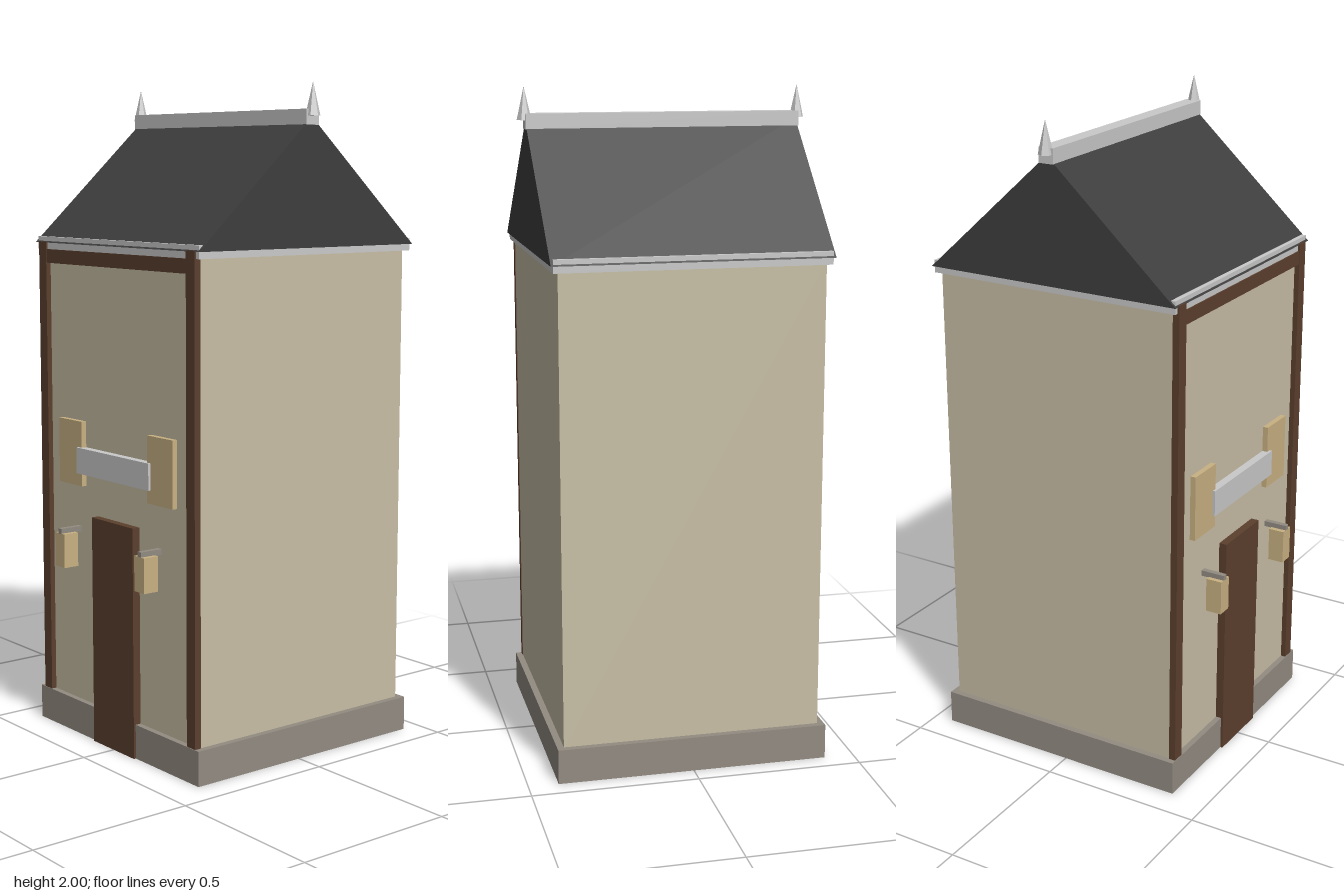
import * as THREE from 'three';

const flat = (name, color) => {
  const m = new THREE.MeshStandardMaterial({ color });
  m.name = name;
  return m;
};

export function createModel() {
  const house = new THREE.Group();
  house.name = 'townHouse';

  const plaster = flat('plaster', 0xc8bfa6);
  const stone = flat('stone', 0x938c82);
  const timber = flat('timber', 0x5c402e);
  const slate = flat('slate', 0x3e3e3e);
  const trim = flat('trim', 0xcacaca);
  const tan = flat('tan', 0xc9b283);

  const add = (name, geometry, material) => {
    const mesh = new THREE.Mesh(geometry, material);
    mesh.name = name;
    house.add(mesh);
    return mesh;
  };
  // Box given by its limits on each axis
  const box = (name, material, [x0, x1], [y0, y1], [z0, z1]) => {
    const mesh = add(name, new THREE.BoxGeometry(x1 - x0, y1 - y0, z1 - z0), material);
    mesh.position.set((x0 + x1) / 2, (y0 + y1) / 2, (z0 + z1) / 2);
    return mesh;
  };

  // Plinth, walls and cornice
  box('plinth', stone, [-0.41, 0.41], [0, 0.105], [-0.44, 0.383]);
  box('walls', plaster, [-0.39, 0.39], [0.1, 1.515], [-0.42, 0.365]);
  box('cornice', trim, [-0.405, 0.405], [1.507, 1.545], [-0.435, 0.375]);

  // Gabled roof, its profile drawn in z and y and extruded along x
  const gable = new THREE.Shape();
  gable.moveTo(-0.41, 1.527);
  gable.lineTo(0.41, 1.527);
  gable.lineTo(0, 1.9);
  gable.closePath();
  const roof = new THREE.ExtrudeGeometry(gable, { depth: 0.824, bevelEnabled: false });
  roof.translate(0, 0, -0.412).rotateY(Math.PI / 2).translate(0, 0, -0.03);
  add('roof', roof, slate);
  box('ridgeCap', trim, [-0.415, 0.415], [1.877, 1.922], [-0.054, -0.006]);

  // Timber frame and door
  box('frontBeam', timber, [-0.353, 0.353], [1.465, 1.507], [0.36, 0.379]);
  box('door', timber, [-0.105, 0.105], [0, 0.705], [0.36, 0.39]);

  // Blank sign board
  box('signBoard', trim, [-0.185, 0.185], [0.83, 0.91], [0.36, 0.39]);

  // Parts repeated on both sides
  for (const [side, s] of [['left', 1], ['right', -1]]) {
    const span = (a, b) => (s > 0 ? [a, b] : [-b, -a]);
    box(side + 'Post', timber, span(0.353, 0.392), [0.1, 1.53], [0.36, 0.381]);
    box(side + 'Window', tan, span(0.168, 0.29), [0.79, 0.99], [0.36, 0.382]);
    box(side + 'Lantern', tan, span(0.182, 0.23), [0.54, 0.645], [0.39, 0.44]);
    box(side + 'LanternBracket', stone, span(0.198, 0.215), [0.643, 0.66], [0.36, 0.44]);
    const finial = add(side + 'Finial',
      new THREE.ConeGeometry(0.022, 0.097, 6).rotateY(Math.PI / 6).toNonIndexed(), trim);
    finial.geometry.computeVertexNormals();
    finial.position.set(s * 0.415, 1.9515, -0.03);
  }
  return house;
}
